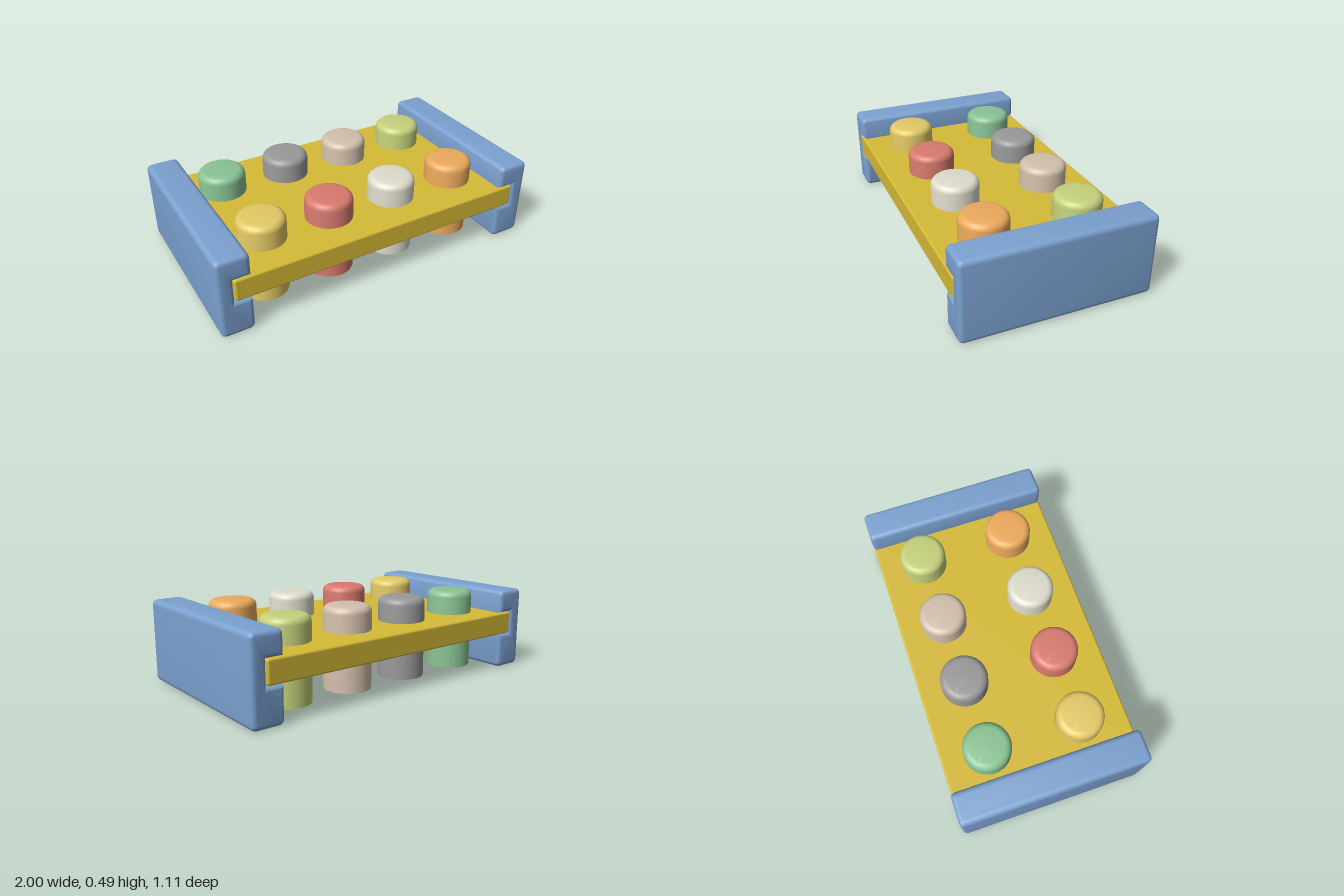
import * as THREE from 'three';
import { toCreasedNormals } from 'three/addons/utils/BufferGeometryUtils.js';
import { RoundedBoxGeometry } from 'three/addons/geometries/RoundedBoxGeometry.js';

const HEIGHT = 0.49, DEPTH = 1.11;

function part(name, geometry, color) {
  const mesh = new THREE.Mesh(geometry, new THREE.MeshStandardMaterial({ color }));
  mesh.name = name;
  return mesh;
}

// C-shaped section with rounded corners and a slot on the inner side, extruded along z
function sideGeometry() {
  const x0 = 0.81, x1 = 1, r = 0.03, bevel = 0.025;
  const slotX = 0.91, slotLow = 0.211, slotHigh = 0.353;
  const s = new THREE.Shape();
  s.moveTo(x0 + r, 0);
  s.lineTo(x1 - r, 0);
  s.absarc(x1 - r, r, r, -Math.PI / 2, 0);
  s.lineTo(x1, HEIGHT - r);
  s.absarc(x1 - r, HEIGHT - r, r, 0, Math.PI / 2);
  s.lineTo(x0 + r, HEIGHT);
  s.absarc(x0 + r, HEIGHT - r, r, Math.PI / 2, Math.PI);
  s.lineTo(x0, slotHigh);
  s.lineTo(slotX, slotHigh);
  s.lineTo(slotX, slotLow);
  s.lineTo(x0, slotLow);
  s.lineTo(x0, r);
  s.absarc(x0 + r, r, r, Math.PI, Math.PI * 1.5);
  const g = new THREE.ExtrudeGeometry(s, {
    depth: DEPTH - 2 * bevel, curveSegments: 5, bevelEnabled: true,
    bevelThickness: bevel, bevelSize: bevel, bevelOffset: -bevel, bevelSegments: 4,
  });
  g.translate(0, 0, -DEPTH / 2 + bevel);
  return toCreasedNormals(g, 0.6);
}

// Peg: flat bottom with a sharp edge, rounded top edge
function pegGeometry() {
  const R = 0.139, r = 0.04, bottom = 0.01, top = 0.493;
  const profile = [new THREE.Vector2(0, bottom), new THREE.Vector2(R, bottom)];
  for (let i = 0; i <= 6; i++) {
    const a = (i / 6) * Math.PI / 2;
    profile.push(new THREE.Vector2(R - r + r * Math.cos(a), top - r + r * Math.sin(a)));
  }
  profile.push(new THREE.Vector2(0, top));
  return toCreasedNormals(new THREE.LatheGeometry(profile, 48), 0.6);
}

export function createModel() {
  const group = new THREE.Group();
  group.name = 'pegBench';

  // Two mirrored end panels
  const left = part('leftSide', sideGeometry(), 0x7ba1d0);
  const right = part('rightSide', left.geometry, 0x7ba1d0);
  right.rotation.y = Math.PI;
  group.add(left, right);

  // Board held in the slots
  const board = part('board', new RoundedBoxGeometry(1.81, 0.135, DEPTH - 0.005, 3, 0.012), 0xd6ba36);
  board.position.y = 0.282;
  group.add(board);

  // Two rows of four pegs pushed through the board
  const rows = [
    { z: -0.282, names: ['green', 'grey', 'beige', 'lime'], colors: [0x8ac393, 0x999999, 0xd3c0ac, 0xc5d17c] },
    { z: 0.272, names: ['yellow', 'red', 'white', 'orange'], colors: [0xe3c966, 0xd87a6e, 0xdedccb, 0xecaa5c] },
  ];
  const peg = pegGeometry();
  for (const { z, names, colors } of rows) {
    colors.forEach((color, i) => {
      const mesh = part(names[i] + 'Peg', peg, color);
      mesh.position.set(-0.628 + i * 0.417, 0, z);
      group.add(mesh);
    });
  }
  return group;
}
